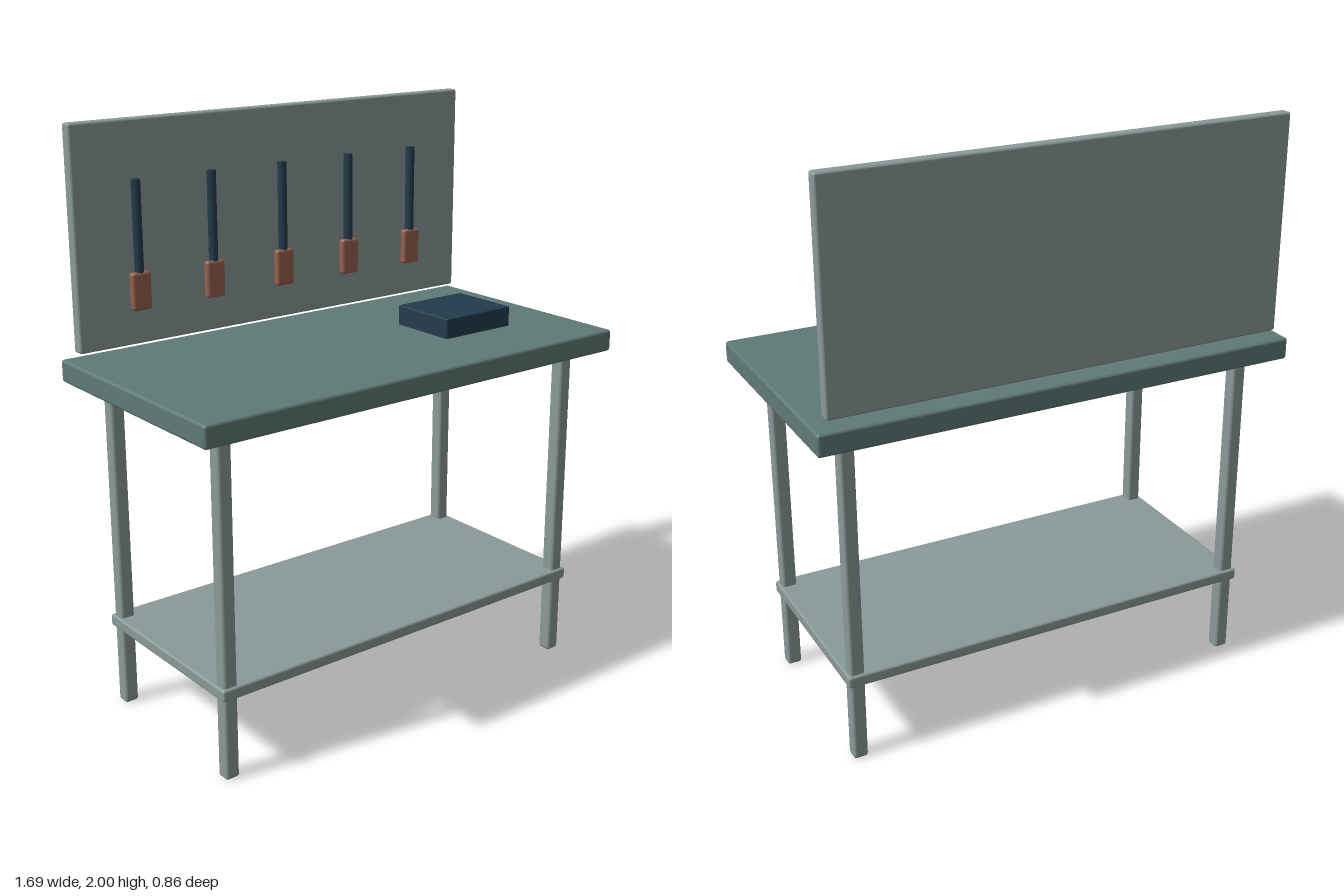
import * as THREE from 'three';
import { RoundedBoxGeometry } from 'three/addons/geometries/RoundedBoxGeometry.js';

const steel = new THREE.MeshStandardMaterial({ name: 'greySteel', color: 0x8a9a98 });
const green = new THREE.MeshStandardMaterial({ name: 'greenTop', color: 0x5f7a75 });
const navy = new THREE.MeshStandardMaterial({ name: 'darkNavy', color: 0x233b4d });
const rust = new THREE.MeshStandardMaterial({ name: 'rustHandle', color: 0x95604d });

// Box with softened edges, given by its lower and upper limits on each axis
function block(name, material, [x0, x1], [y0, y1], [z0, z1], radius) {
  const geometry = new RoundedBoxGeometry(x1 - x0, y1 - y0, z1 - z0, 2, radius);
  const mesh = new THREE.Mesh(geometry, material);
  mesh.name = name;
  mesh.position.set((x0 + x1) / 2, (y0 + y1) / 2, (z0 + z1) / 2);
  return mesh;
}

// Hanging tool: a dark shaft above a flat handle
function makeTool(x) {
  const tool = new THREE.Group();
  tool.name = 'hangingTool';
  const shaft = new THREE.Mesh(new THREE.CylinderGeometry(0.016, 0.016, 0.335, 8), navy);
  shaft.name = 'toolShaft';
  shaft.position.set(0, 1.645, -0.333);
  tool.add(shaft);
  tool.add(block('toolHandle', rust, [-0.036, 0.036], [1.383, 1.51], [-0.343, -0.315], 0.01));
  tool.position.x = x;
  return tool;
}

export function createModel() {
  const bench = new THREE.Group();
  bench.name = 'workbench';

  // Worktop, back panel and lower shelf
  bench.add(block('worktop', green, [-0.845, 0.845], [1.16, 1.236], [-0.428, 0.428], 0.01));
  bench.add(block('backPanel', steel, [-0.808, 0.804], [1.26, 2], [-0.4, -0.358], 0.008));
  bench.add(block('shelf', steel, [-0.755, 0.755], [0.285, 0.326], [-0.349, 0.349], 0.008));

  // Four legs
  for (const x of [-0.72, 0.72]) {
    for (const z of [-0.314, 0.314]) {
      bench.add(block('leg', steel, [x - 0.025, x + 0.025], [0, 1.158], [z - 0.025, z + 0.025], 0.01));
    }
  }

  // Tool row in front of the panel
  for (let i = 0; i < 5; i++) bench.add(makeTool(-0.592 + i * 0.288));

  // Case lying on the worktop
  bench.add(block('toolCase', navy, [0.308, 0.602], [1.225, 1.306], [-0.09, 0.166], 0.004));

  return bench;
}
